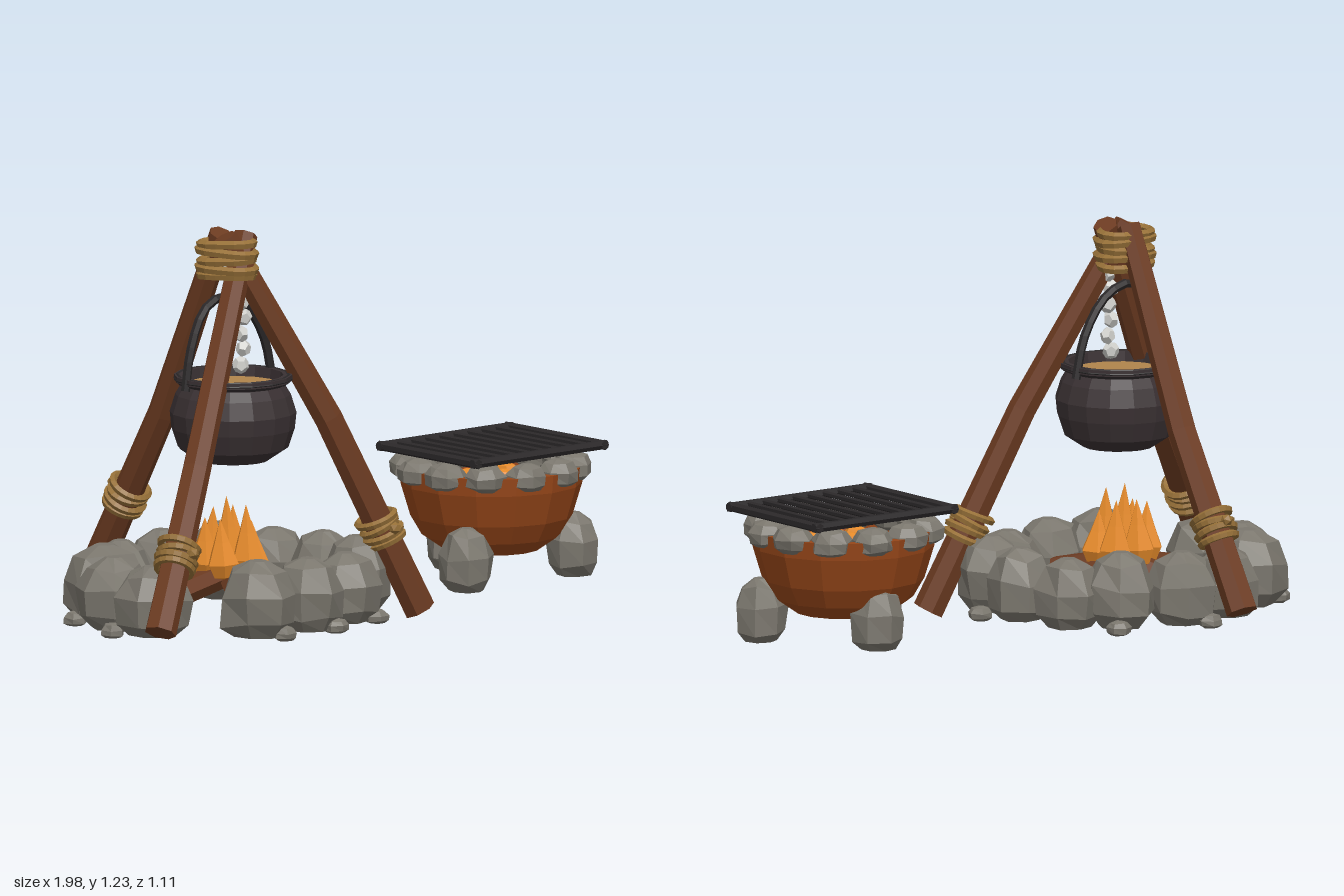
import * as THREE from 'three';

const V = (x, y, z) => new THREE.Vector3(x, y, z);
const UP = V(0, 1, 0);
const lathe = (pts, sides) => new THREE.LatheGeometry(pts.map(([x, y]) => new THREE.Vector2(x, y)), sides);

function material(name, color, side = THREE.FrontSide) {
  const m = new THREE.MeshStandardMaterial({ color, flatShading: true, side });
  m.name = name;
  return m;
}

export function createModel() {
  const wood = material('wood', 0x6c3b21);
  const rope = material('rope', 0x967038);
  const stone = material('stone', 0x7b776e);
  const iron = material('blackIron', 0x2b2829);
  const pot = material('castIron', 0x3a3133, THREE.DoubleSide);
  const clay = material('clay', 0x964619, THREE.DoubleSide);
  const flame = material('flame', 0xe58a2a);
  const broth = material('broth', 0xb0844c);
  const chainGrey = material('chainGrey', 0xd0d0cc);

  const model = new THREE.Group();
  model.name = 'campCookingSet';
  let seed = 7;
  const rnd = () => (seed = (seed * 16807) % 2147483647) / 2147483647;

  function add(parent, name, geo, mat, x = 0, y = 0, z = 0) {
    const m = new THREE.Mesh(geo, mat);
    m.name = name;
    m.position.set(x, y, z);
    parent.add(m);
    return m;
  }
  function group(name) {
    const g = new THREE.Group();
    g.name = name;
    model.add(g);
    return g;
  }

  // Capped prism through a list of points, bottom to top
  function limb(parent, name, pts, radii, sides, mat) {
    const n = pts.length - 1;
    const geo = new THREE.CylinderGeometry(1, 1, 1, sides, n);
    const q = new THREE.Quaternion().setFromUnitVectors(UP, pts[n].clone().sub(pts[0]).normalize());
    const p = geo.attributes.position;
    for (let i = 0; i < p.count; i++) {
      const k = Math.round((p.getY(i) + 0.5) * n);
      const v = V(p.getX(i), 0, p.getZ(i)).multiplyScalar(radii[k]).applyQuaternion(q).add(pts[k]);
      p.setXYZ(i, v.x, v.y, v.z);
    }
    geo.computeVertexNormals();
    return add(parent, name, geo, mat);
  }

  // Faceted boulder standing on its origin, slightly irregular
  function boulder(parent, name, r, h, x, y, z, mat = stone, sides = 7) {
    const prof = [[0, 0], [0.62, 0], [0.95, 0.17], [0.99, 0.55], [0.7, 0.87], [0.24, 1], [0, 1]];
    const geo = lathe(prof.map(([a, b]) => [a * r, b * h]), sides);
    const p = geo.attributes.position, n = prof.length;
    const jit = Array.from({ length: sides * n }, () => [0.95 + rnd() * 0.16, (rnd() - 0.5) * 0.1 * h]);
    for (let i = 0; i < p.count; i++) {
      const j = i % n;
      if (j < 1 || j > 4) continue;
      const [s, dy] = jit[i % (sides * n)];
      p.setXYZ(i, p.getX(i) * s, p.getY(i) + (j > 1 ? dy : 0), p.getZ(i) * s);
    }
    geo.computeVertexNormals();
    const m = add(parent, name, geo, mat, x, y, z);
    m.rotation.y = rnd() * 6.28;
    return m;
  }

  // Stack of rope turns around an axis; lobe pinches each turn between three poles
  function lashing(parent, name, centre, dir, r, tube, turns, gap, lobe = 0) {
    const g = new THREE.Group();
    g.name = name;
    g.position.copy(centre);
    g.quaternion.setFromUnitVectors(UP, dir.clone().normalize());
    for (let i = 0; i < turns; i++) {
      const loop = Array.from({ length: 12 }, (_, k) => {
        const a = k * Math.PI / 6, rr = r * (0.97 + 0.06 * (i % 2)) - lobe * Math.sin(-3 * a);
        return V(Math.cos(a) * rr, 0, Math.sin(a) * rr);
      });
      const t = add(g, 'ropeTurn', new THREE.TubeGeometry(new THREE.CatmullRomCurve3(loop, true), 18, tube, 5, true),
        rope, 0, (i - (turns - 1) / 2) * gap, 0);
      t.rotation.set(i % 2 ? 0.05 : -0.05, 0, 0.05 * (i % 3 - 1));
    }
    parent.add(g);
    return g;
  }

  // Tripod poles and their lashings
  const tripod = group('tripod');
  const poles = [
    [V(0.155, 0.025, 0.395), V(-0.12, 0.64, 0.28), V(-0.405, 1.215, 0.125)],
    [V(-0.95, 0.085, 0.44), V(-0.65, 0.54, 0.27), V(-0.325, 1.215, 0.13)],
    [V(-0.36, 0.1, -0.52), V(-0.36, 0.62, -0.215), V(-0.37, 1.215, 0.07)],
  ];
  poles.forEach((pts, i) => {
    limb(tripod, 'tripodPole', pts, [0.05, 0.045, 0.038], 7, wood);
    const dir = pts[1].clone().sub(pts[0]);
    const c = pts[0].clone().lerp(pts[1], [0.42, 0.46, 0.46][i]);
    const g = lashing(tripod, 'poleLashing', c, dir, 0.058, 0.012, 4, 0.025);
    add(g, 'ropeKnot', new THREE.IcosahedronGeometry(0.02, 0), rope, 0, 0, i === 2 ? -0.07 : 0.07);
  });
  lashing(tripod, 'topLashing', V(-0.375, 1.143, 0.11), UP, 0.083, 0.014, 5, 0.025, -0.011);

  // Cauldron with broth, handle and chain
  const kettle = group('cauldron');
  kettle.position.set(-0.375, 0, 0.13);
  add(kettle, 'cauldronBody', lathe([[0, 0.518], [0.11, 0.52], [0.17, 0.56], [0.19, 0.62], [0.195, 0.67],
    [0.178, 0.725], [0.16, 0.755], [0.182, 0.767], [0.182, 0.785], [0.155, 0.785], [0.148, 0.73]], 16), pot);
  add(kettle, 'cauldronRim', new THREE.TorusGeometry(0.17, 0.014, 5, 16), iron, 0, 0.774, 0).rotation.x = Math.PI / 2;
  add(kettle, 'broth', new THREE.CylinderGeometry(0.155, 0.155, 0.008, 16), broth, 0, 0.75, 0);
  const arch = new THREE.CatmullRomCurve3([V(-0.178, 0.75, 0), V(-0.155, 0.88, 0), V(-0.1, 0.995, 0),
    V(-0.02, 1.028, 0), V(0.07, 0.99, 0), V(0.145, 0.88, 0), V(0.178, 0.75, 0)]);
  add(kettle, 'cauldronHandle', new THREE.TubeGeometry(arch, 16, 0.014, 6), iron, 0, 0, -0.02);
  for (let i = 0; i < 6; i++) {
    const link = add(kettle, 'chainLink', new THREE.DodecahedronGeometry(0.028, 0), chainGrey,
      0.015 + 0.016 * (i % 2), 0.815 + i * 0.049, 0.018 - 0.005 * (i % 2));
    link.scale.z = 0.85;
    link.rotation.set(i % 2 ? 0.25 : -0.2, i * 0.7, i % 2 ? -0.2 : 0.25);
  }

  // Ring of boulders and loose pebbles: x, z, radius
  const ring = group('fireRing');
  [[-0.52, -0.225, 0.102], [-0.335, -0.245, 0.108], [-0.15, -0.18, 0.105], [-0.02, -0.085, 0.11],
    [0.02, 0.105, 0.102], [0, 0.28, 0.105], [-0.155, 0.4, 0.11], [-0.34, 0.44, 0.11],
    [-0.53, 0.42, 0.122], [-0.76, 0.195, 0.12], [-0.775, 0.03, 0.114], [-0.685, -0.115, 0.13]]
    .forEach(([x, z, r], i) => boulder(ring, 'ringBoulder', r, 0.212 + 0.01 * (i % 3), x, 0.028, z));
  [[0.11, 0.19], [-0.08, 0.46], [-0.86, 0.12], [-0.29, 0.51], [-0.38, -0.33], [-0.08, -0.26], [-0.8, -0.12], [-0.5, 0.51]]
    .forEach(([x, z]) => boulder(ring, 'pebble', 0.038, 0.045, x, 0.02, z, stone, 6));

  // Firewood star and flames
  const fire = group('campfire');
  fire.position.set(-0.372, 0, 0.11);
  for (let i = 0; i < 6; i++) {
    const a = i * Math.PI / 3, c = Math.cos(a), s = Math.sin(a);
    limb(fire, 'firewood', [V(c * 0.222, 0.1 + 0.02 * (i % 2), s * 0.222), V(-c * 0.04, 0.175, -s * 0.04)],
      [0.042, 0.04], 6, wood);
  }
  for (let i = 0; i < 7; i++) {
    const a = i * Math.PI / 3 + 0.4, r = i < 6 ? 0.078 : 0, h = i < 6 ? 0.17 + 0.04 * ((i * 2) % 3) / 2 + 0.02 * (i % 2) : 0.25;
    const f = add(fire, 'flameTongue', lathe([[0, 0], [0.036, 0.01], [0.053, h * 0.26], [0.026, h * 0.62], [0, h]], 6),
      flame, Math.cos(a) * r, 0.155, Math.sin(a) * r);
    f.rotation.set(-Math.sin(a) * 0.06, a, Math.cos(a) * 0.06);
  }

  // Clay brazier on three stones
  const brazier = group('brazier');
  brazier.position.set(0.68, 0, 0.137);
  add(brazier, 'clayBowl', lathe([[0, 0.12], [0.15, 0.125], [0.215, 0.17], [0.25, 0.23], [0.28, 0.33],
    [0.285, 0.385], [0.25, 0.385], [0.235, 0.31], [0, 0.3]], 14), clay);
  for (const [x, z] of [[-0.225, 0.138], [0.215, 0.138], [0.01, -0.19]])
    boulder(brazier, 'supportStone', 0.083, 0.195, x, 0.035, z);
  for (let i = 0; i < 12; i++) {
    const a = (i + 0.5) * Math.PI / 6;
    boulder(brazier, 'rimStone', 0.064, 0.082, Math.cos(a) * 0.25, 0.343, Math.sin(a) * 0.245);
  }
  for (let i = 0; i < 4; i++)
    for (let j = 0; j < 3; j++)
      boulder(brazier, 'ember', 0.04, 0.06, -0.11 + i * 0.08, 0.305, -0.075 + j * 0.077, flame, 6);

  // Iron grate: rod frame and cross bars
  const grate = group('grate');
  grate.position.set(0.68, 0.444, 0.141);
  const hx = 0.26, hz = 0.216;
  const rod = (name, r, a, b) => limb(grate, name, [a, b], [r, r], 6, iron);
  for (const s of [-1, 1]) {
    rod('frameSide', 0.015, V(s * hx, 0, -hz - 0.014), V(s * hx, 0, hz + 0.014));
    rod('frameEnd', 0.015, V(-hx - 0.014, 0, s * hz), V(hx + 0.014, 0, s * hz));
  }
  for (let i = 1; i < 9; i++) {
    const x = -hx + i * hx * 2 / 9;
    rod('grateBar', 0.009, V(x, 0.004, -hz), V(x, 0.004, hz));
  }

  return model;
}
